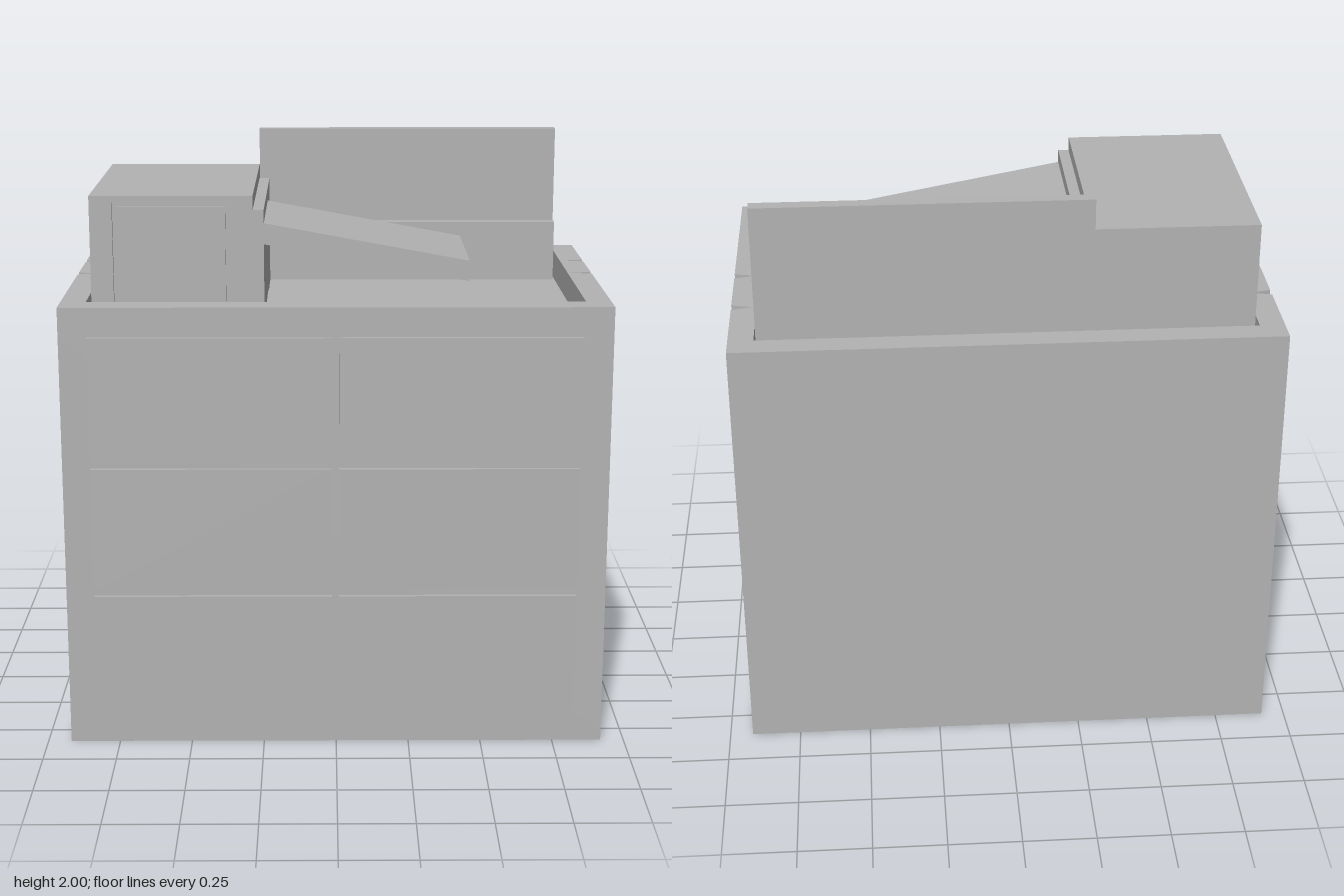
import * as THREE from 'three';

const X = 0.92, ZB = -0.612, ZF = 0.597;   // cabinet half width, back, front
const FLOOR = 1.435, TOP = 1.535;          // tray floor and rim heights
const GROOVES = [-0.275, -0.025];          // z of the seams
const HALF = 0.018, DEPTH = 0.075;         // seam half width and depth

export function createModel() {
  const group = new THREE.Group();
  group.name = 'dresser';
  const grey = new THREE.MeshStandardMaterial({ color: 0xb3b3b3 });
  grey.name = 'grey';

  const add = (name, geometry) => {
    const mesh = new THREE.Mesh(geometry, grey);
    mesh.name = name;
    group.add(mesh);
    return mesh;
  };
  // box given by its limits on each axis
  const block = (name, x0, x1, y0, y1, z0, z1) => {
    const g = new THREE.BoxGeometry(x1 - x0, y1 - y0, z1 - z0);
    g.translate((x0 + x1) / 2, (y0 + y1) / 2, (z0 + z1) / 2);
    return add(name, g);
  };
  const outline = (pts) => new THREE.Shape(pts.map(([a, b]) => new THREE.Vector2(a, b)));
  const extrude = (shape, depth) => new THREE.ExtrudeGeometry(shape, { depth, bevelEnabled: false });

  // cabinet plan with V seams on both sides (shape y is -z)
  const plan = () => {
    const side = [];
    for (const z of GROOVES) side.push([X, z - HALF], [X - DEPTH, z], [X, z + HALF]);
    const right = [[X, ZB], ...side, [X, ZF]];
    const left = right.map(([x, z]) => [-x, z]).reverse();
    return outline([...right, ...left].map(([x, z]) => [x, -z]));
  };
  const carcass = extrude(plan(), FLOOR - 0.03);
  carcass.rotateX(-Math.PI / 2).translate(0, 0.03, 0);
  add('cabinetBody', carcass);

  // raised rim around the tray
  const rimShape = plan();
  rimShape.holes.push(outline([[-0.835, -0.5], [0.835, -0.5], [0.835, 0.527], [-0.835, 0.527]]));
  const rim = extrude(rimShape, TOP - FLOOR);
  rim.rotateX(-Math.PI / 2).translate(0, FLOOR, 0);
  add('trayRim', rim);

  // three base strips with V seams between them
  const edges = [ZB, ...GROOVES, ZF];
  for (let i = 0; i < 3; i++) {
    const a = edges[i], b = edges[i + 1];
    const a0 = i > 0 ? a + HALF : a, b0 = i < 2 ? b - HALF : b;
    const strip = extrude(outline([[-a0, 0], [-a, 0.03], [-b, 0.03], [-b0, 0]]), 2 * X);
    strip.rotateY(Math.PI / 2).translate(-X, 0, 0);
    add('baseStrip', strip);
  }

  // drawer fronts
  for (const y of [0.11, 0.56, 1.01]) {
    block('drawerFront', -0.824, -0.014, y, y + 0.425, ZF - 0.01, 0.612);
    block('drawerFront', 0.01, 0.82, y, y + 0.425, ZF - 0.01, 0.612);
  }

  // side cabinet with a door set in a narrow gap
  block('sideCabinet', -0.832, -0.28, FLOOR, 1.87, -0.465, 0.345);
  const face = outline([[-0.832, FLOOR], [-0.755, FLOOR], [-0.755, 1.85], [-0.36, 1.85],
    [-0.36, FLOOR], [-0.28, FLOOR], [-0.28, 1.87], [-0.832, 1.87]]);
  add('sideCabinetFrame', extrude(face, 0.017)).position.z = 0.343;
  block('sideCabinetDoor', -0.741, -0.373, FLOOR, 1.834, 0.34, 0.36);
  block('divider', -0.28, -0.243, FLOOR, 1.822, -0.43, 0.36);

  // back panel and the lower ledge before it
  block('backPanel', -0.28, 0.828, FLOOR, 2, -0.525, -0.48);
  block('backLedge', -0.28, 0.828, FLOOR, 1.655, -0.472, -0.43);

  // sloping board and the plate beneath it
  const board = outline([[-0.243, 1.705], [0.455, 1.578], [0.455, 1.648], [-0.243, 1.777]]);
  add('slopingBoard', extrude(board, 0.52)).position.z = -0.16;
  block('trayPlate', -0.243, 0.455, FLOOR - 0.005, 1.45, -0.16, 0.36);

  return group;
}
